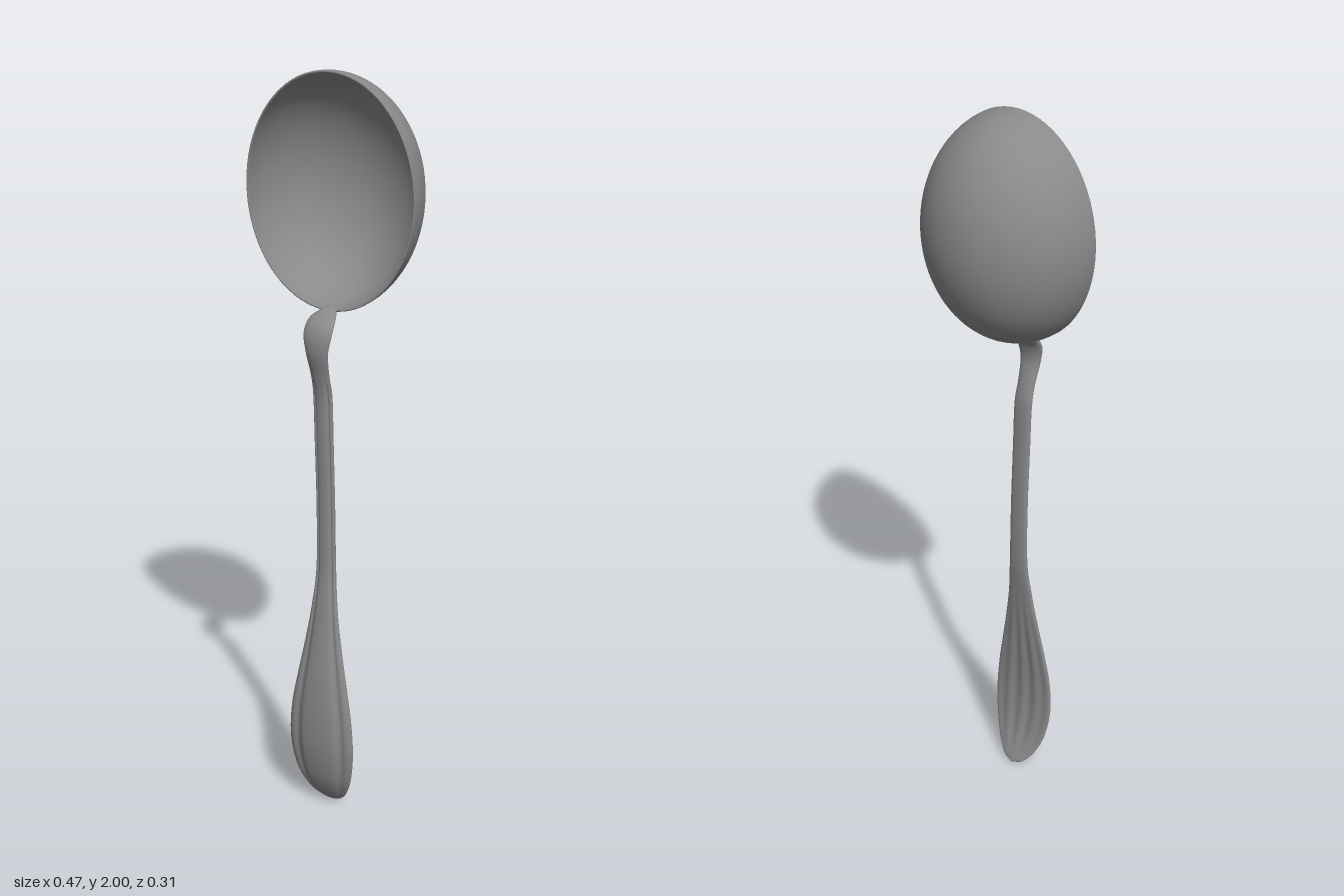
import * as THREE from 'three';

const material = new THREE.MeshStandardMaterial({ color: 0x8a8a8a, side: THREE.DoubleSide });

// Half-ellipsoid shell, open towards +z, with a thin rounded rim
function makeBowl() {
  const inner = 0.98;
  const mid = (1 + inner) / 2, half = (1 - inner) / 2;
  const arc = (r) => Array.from({ length: 33 }, (_, i) => {
    const a = (i / 32) * Math.PI / 2;
    return new THREE.Vector2(r * Math.sin(a), -r * Math.cos(a));
  });
  const rim = [1, 2, 3, 4, 5].map((i) => {
    const a = (i / 6) * Math.PI;
    return new THREE.Vector2(mid + half * Math.cos(a), half * Math.sin(a));
  });
  const geometry = new THREE.LatheGeometry([...arc(1), ...rim, ...arc(inner).reverse()], 72);
  geometry.rotateX(Math.PI / 2).scale(0.235, 0.293, 0.229);
  const bowl = new THREE.Mesh(geometry, material);
  bowl.name = 'bowl';
  bowl.position.set(0, 1.707, 0.076);
  return bowl;
}

// Handle stations: y, z, half width, half thickness, groove depth
const stations = [
  [0.003, 0.068, 0.004, 0.002, 0],
  [0.015, 0.077, 0.034, 0.007, 0.1],
  [0.05, 0.096, 0.062, 0.012, 0.3],
  [0.11, 0.116, 0.085, 0.016, 0.5],
  [0.20, 0.129, 0.097, 0.018, 0.6],
  [0.30, 0.131, 0.092, 0.018, 0.6],
  [0.40, 0.125, 0.075, 0.017, 0.6],
  [0.50, 0.116, 0.056, 0.015, 0.6],
  [0.60, 0.107, 0.040, 0.013, 0.6],
  [0.72, 0.096, 0.029, 0.012, 0.6],
  [0.90, 0.097, 0.027, 0.012, 0.6],
  [1.08, 0.104, 0.027, 0.012, 0.6],
  [1.20, 0.109, 0.027, 0.012, 0.5],
  [1.26, 0.121, 0.026, 0.012, 0.1],
  [1.32, 0.136, 0.031, 0.012, 0],
  [1.365, 0.133, 0.039, 0.013, 0],
  [1.395, 0.115, 0.038, 0.012, 0],
  [1.410, 0.092, 0.030, 0.008, 0],
  [1.420, 0.068, 0.016, 0.004, 0],
];

// Grooved, slightly arched cross-section swept along the bent handle
function makeHandle() {
  const path = new THREE.CatmullRomCurve3(
    stations.map(([y, z]) => new THREE.Vector3(0, y, z)), false, 'catmullrom');
  const sizes = new THREE.CatmullRomCurve3(
    stations.map(([, , w, t, g]) => new THREE.Vector3(w, t, g)), false, 'catmullrom');
  const rows = 144, sides = 96;
  const positions = [], indices = [];

  for (let i = 0; i <= rows; i++) {
    const c = path.getPoint(i / rows);
    const d = path.getTangent(i / rows);
    const { x: w, y: t, z: depth } = sizes.getPoint(i / rows);
    // Rear flutes belong to the broad grip only
    const grip = THREE.MathUtils.smoothstep(w, 0.03, 0.08);
    for (let j = 0; j < sides; j++) {
      const a = (j / sides) * Math.PI * 2;
      const u = Math.cos(a), s = Math.sin(a);
      // Front: two grooves beside a broad centre lobe; back: soft flutes
      const cut = s > 0
        ? 0.9 * Math.exp(-(((Math.abs(u) - 0.68) / 0.12) ** 2))
        : 0.45 * grip * (1 - Math.cos(u * Math.PI * 4)) / 2;
      const n = t * s * (1 - depth * cut) + 0.16 * w * depth * (0.35 - u * u);
      positions.push(w * u, c.y - d.z * n, c.z + d.y * n);
    }
  }
  for (let i = 0; i < rows; i++) {
    for (let j = 0; j < sides; j++) {
      const a = i * sides + j, b = i * sides + (j + 1) % sides;
      indices.push(a, a + sides, b, b, a + sides, b + sides);
    }
  }
  // End caps
  const top = rows * sides;
  for (let j = 1; j < sides - 1; j++) {
    indices.push(0, j, j + 1, top, top + j + 1, top + j);
  }

  const geometry = new THREE.BufferGeometry();
  geometry.setAttribute('position', new THREE.Float32BufferAttribute(positions, 3));
  geometry.setIndex(indices);
  geometry.computeVertexNormals();
  const handle = new THREE.Mesh(geometry, material);
  handle.name = 'handle';
  return handle;
}

export function createModel() {
  const spoon = new THREE.Group();
  spoon.name = 'spoon';
  spoon.add(makeBowl(), makeHandle());
  return spoon;
}
